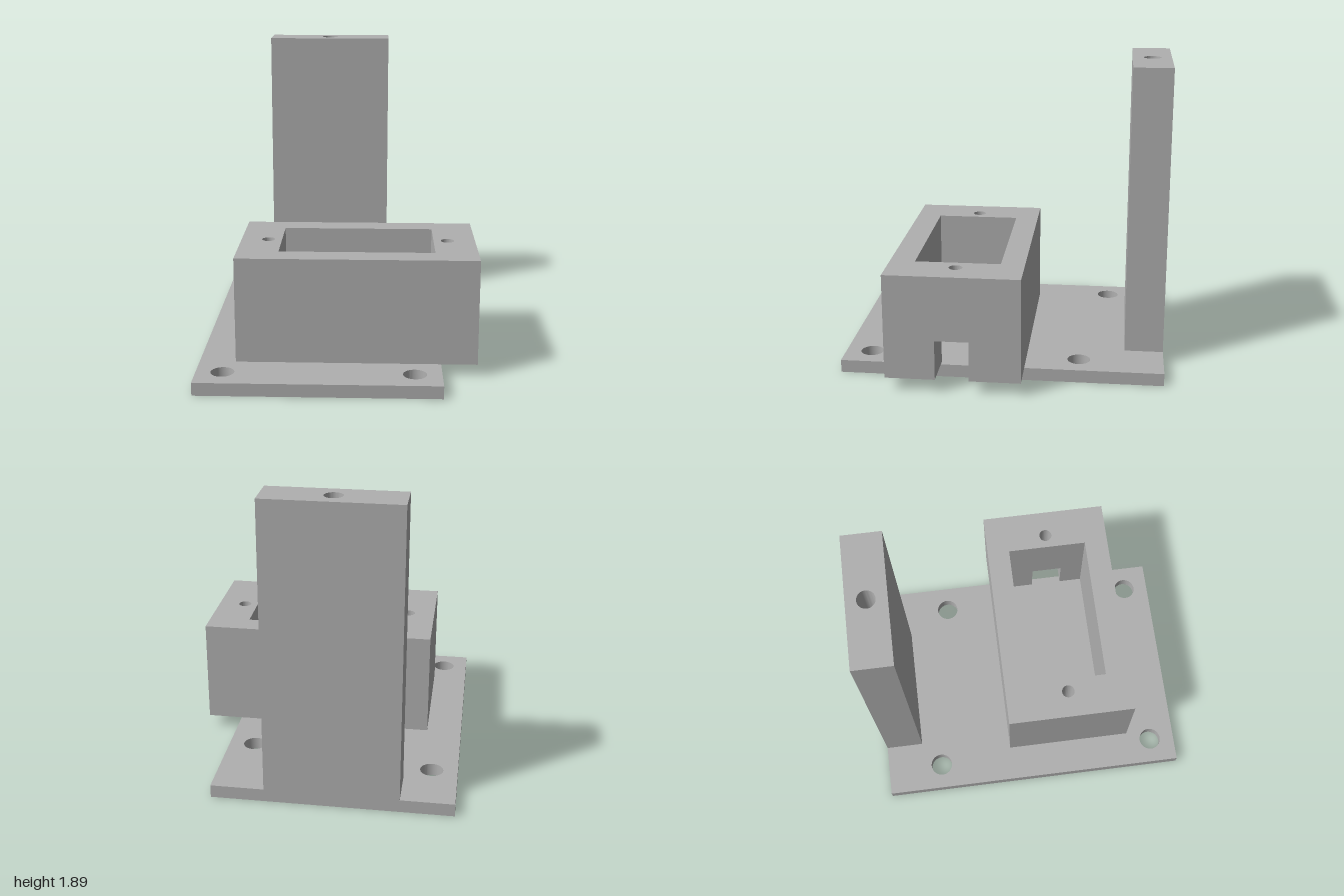
import * as THREE from 'three';
import { toCreasedNormals } from 'three/addons/utils/BufferGeometryUtils.js';

const grey = new THREE.MeshStandardMaterial({ color: 0xb0b0b0 });
grey.name = 'plain grey';

// Outline points are [x, z]; shapes are drawn in (x, -z) and laid flat.
const rectangle = (x0, x1, z0, z1) => [[x0, z1], [x1, z1], [x1, z0], [x0, z0]];
const toPoints = (outline) => outline.map(([x, z]) => new THREE.Vector2(x, -z));

function roundHole(x, z, radius) {
  const path = new THREE.Path();
  path.absarc(x, -z, radius, 0, Math.PI * 2, true);
  return path;
}

// Horizontal slab from y0 to y1 with optional holes
function slab(name, outline, y0, y1, holes = []) {
  const shape = new THREE.Shape(toPoints(outline));
  shape.holes.push(...holes);
  const flat = new THREE.ExtrudeGeometry(shape, {
    depth: y1 - y0, bevelEnabled: false, curveSegments: 24,
  });
  flat.rotateX(-Math.PI / 2);
  flat.translate(0, y0, 0);
  const mesh = new THREE.Mesh(toCreasedNormals(flat, 0.6), grey);
  mesh.name = name;
  return mesh;
}

export function createModel() {
  const model = new THREE.Group();
  model.name = 'mountingBracket';
  const baseTop = 0.08;

  // Base plate with four through holes
  const baseHoles = [[-0.685, -0.635], [0.458, -0.475], [-0.685, 0.835], [0.458, 0.835]]
    .map(([x, z]) => roundHole(x, z, 0.071));
  model.add(slab('basePlate', rectangle(-0.845, 0.62, -1, 1), 0, baseTop, baseHoles));

  // Rear post with a blind screw hole in its top
  const post = new THREE.Group();
  post.name = 'rearPost';
  const postOutline = rectangle(-0.52, 0.295, -1, -0.757);
  post.add(
    slab('postBody', postOutline, baseTop, 1.5),
    slab('postTop', postOutline, 1.5, 1.89, [roundHole(-0.113, -0.88, 0.055)]),
  );
  model.add(post);

  // Hollow housing: lower band open at the cable notch, upper bands closed
  const housing = new THREE.Group();
  housing.name = 'housing';
  const [x0, x1, z0, z1] = [-0.625, 0.84, -0.147, 0.677];
  const [px0, px1, pz0, pz1] = [-0.37, 0.58, 0, 0.523];
  const [nz0, nz1, notchTop, screwFloor] = [0.165, 0.37, 0.33, 0.42];
  const notched = [
    [x0, z1], [x1, z1], [x1, nz1], [px1, nz1], [px1, pz1], [px0, pz1],
    [px0, pz0], [px1, pz0], [px1, nz0], [x1, nz0], [x1, z0], [x0, z0],
  ];
  const block = rectangle(x0, x1, z0, z1);
  const pocket = () => new THREE.Path(toPoints(rectangle(px0, px1, pz0, pz1).reverse()));
  const screws = [-0.455, 0.667].map((x) => roundHole(x, 0.262, 0.041));
  housing.add(
    slab('notchedWalls', notched, baseTop, notchTop),
    slab('middleWalls', block, notchTop, screwFloor, [pocket()]),
    slab('upperWalls', block, screwFloor, 0.735, [pocket(), ...screws]),
  );
  model.add(housing);

  return model;
}
